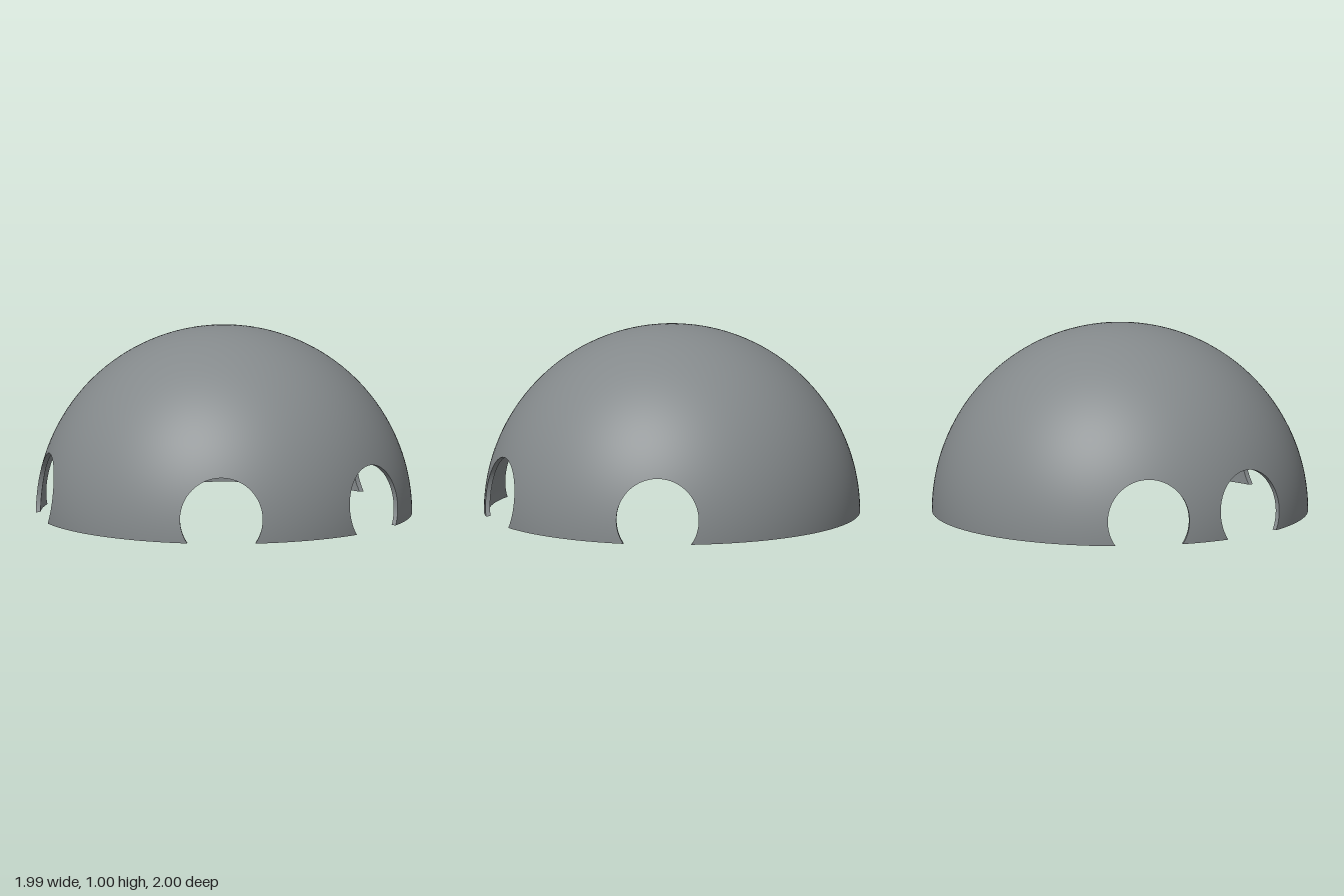
import * as THREE from 'three';

const OUTER = 1, INNER = 0.975;
const HOLE_R = 0.22, HOLE_Y = 0.125;
// Directions of the round doorways, degrees from +x towards +z
const DOORS = [-19.3, 47, 103.2, 182.3, 218.8];
const DOOR_ROWS = 28, CAP_ROWS = 28;
const T0 = Math.asin(-HOLE_Y / HOLE_R);

// Surface patch from a rule f(u, v); it faces along dv x du
function patch(f, nu, nv, sphereSign = 0) {
  const pos = [], index = [];
  for (let j = 0; j <= nv; j++)
    for (let i = 0; i <= nu; i++) pos.push(...f(i / nu, j));
  for (let j = 0; j < nv; j++)
    for (let i = 0; i < nu; i++) {
      const a = j * (nu + 1) + i, b = a + nu + 1;
      index.push(a, b, a + 1, a + 1, b, b + 1);
    }
  const g = new THREE.BufferGeometry();
  g.setAttribute('position', new THREE.Float32BufferAttribute(pos, 3));
  g.setIndex(index);
  g.computeVertexNormals();
  // Exact radial normals keep the dome smooth across sections
  if (sphereSign) {
    const n = new THREE.Vector3();
    for (let k = 0; k < pos.length / 3; k++) {
      n.fromArray(pos, k * 3).normalize().multiplyScalar(sphereSign);
      g.attributes.normal.setXYZ(k, n.x, n.y, n.z);
    }
  }
  return g;
}

// Height and half-angle of the doorway on a sphere of radius r at a given row
function rowAt(r, row) {
  if (row <= DOOR_ROWS) {
    const t = T0 + (Math.PI / 2 - T0) * row / DOOR_ROWS;
    const y = row === 0 ? 0 : HOLE_Y + HOLE_R * Math.sin(t);
    const ring = Math.sqrt(r * r - y * y);
    return { y, ring, half: Math.asin(HOLE_R * Math.cos(t) / ring) };
  }
  const start = Math.asin((HOLE_Y + HOLE_R) / r);
  const lat = start + (Math.PI / 2 - start) * (row - DOOR_ROWS) / CAP_ROWS;
  return { y: r * Math.sin(lat), ring: r * Math.cos(lat), half: 0 };
}

export function createModel() {
  const model = new THREE.Group();
  model.name = 'dome';
  const grey = new THREE.MeshStandardMaterial({ color: 0x84898b });
  grey.name = 'grey';

  DOORS.forEach((deg, k) => {
    const a = THREE.MathUtils.degToRad(deg);
    const next = k + 1 < DOORS.length ? DOORS[k + 1] : DOORS[0] + 360;
    const b = THREE.MathUtils.degToRad(next);
    const cols = Math.ceil((next - deg) / 2.5);

    // Point on the wall between two neighbouring doorways
    const point = (r, u, row) => {
      const { y, ring, half } = rowAt(r, row);
      const th = THREE.MathUtils.lerp(a + half, b - half, u);
      return [ring * Math.cos(th), y, ring * Math.sin(th)];
    };
    const radius = s => THREE.MathUtils.lerp(INNER, OUTER, s);

    const section = new THREE.Group();
    section.name = 'wallSection' + (k + 1);
    const add = (name, geometry) => {
      const m = new THREE.Mesh(geometry, grey);
      m.name = name;
      section.add(m);
    };
    const rows = DOOR_ROWS + CAP_ROWS;
    add('outerSkin', patch((u, j) => point(OUTER, u, j), cols, rows, 1));
    add('innerSkin', patch((u, j) => point(INNER, 1 - u, j), cols, rows, -1));
    add('doorEdgeStart', patch((u, j) => point(radius(u), 0, j), 1, DOOR_ROWS));
    add('doorEdgeEnd', patch((u, j) => point(radius(1 - u), 1, j), 1, DOOR_ROWS));
    add('bottomRim', patch((u, j) => point(radius(j), u, 0), cols, 1));
    model.add(section);
  });

  // The doorway cuts shift the overall centre slightly
  model.children.forEach(s => { s.position.x = -0.006; });
  return model;
}
